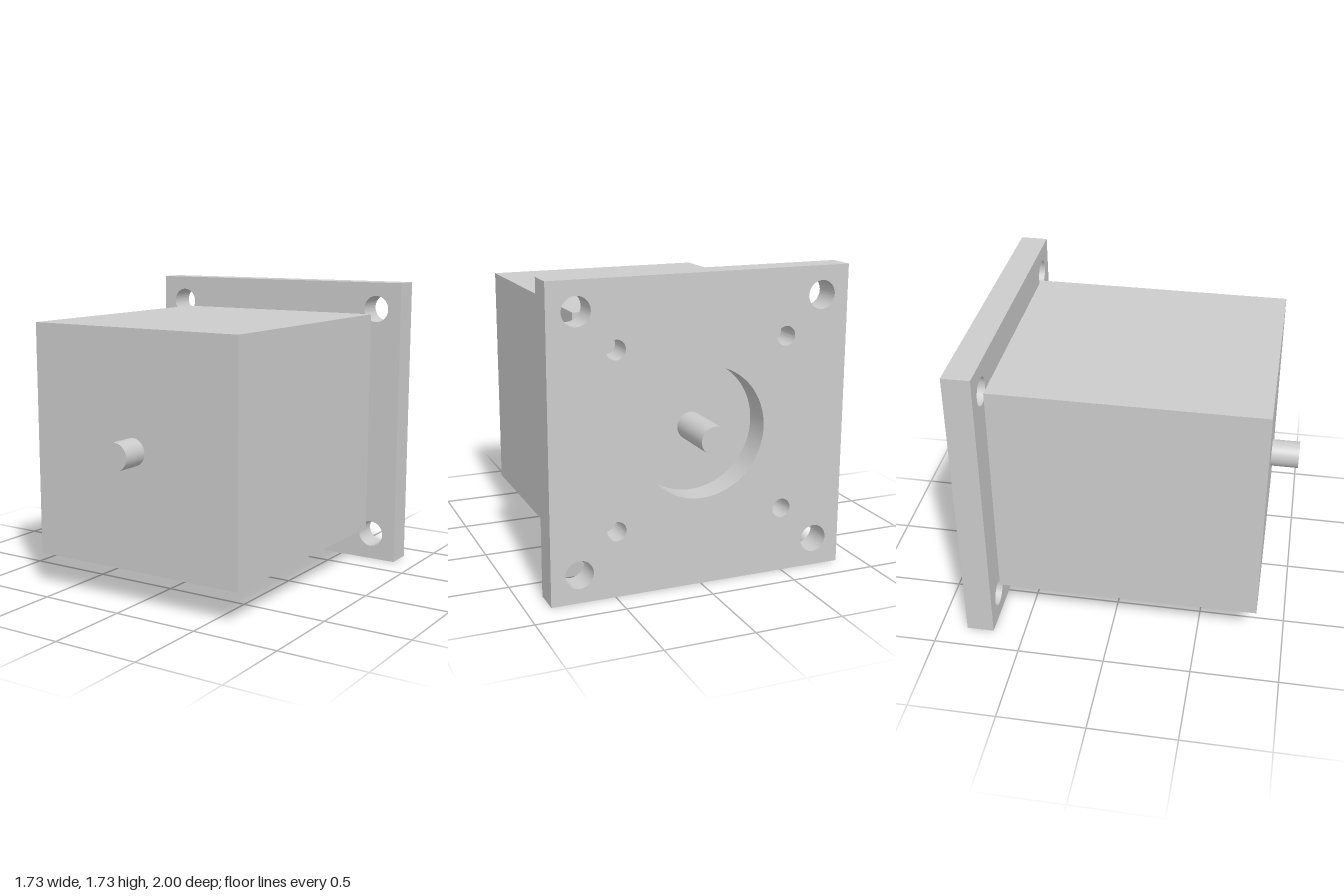
import * as THREE from 'three';
import { toCreasedNormals } from 'three/addons/utils/BufferGeometryUtils.js';

const CENTRE_Y = 0.863;      // height of the shaft axis
const FLANGE_HALF = 0.863;
const FLANGE_BACK = -0.84;
const FLANGE_FRONT = -0.682;
const BODY_FRONT = 0.84;
const BODY_WIDTH = 1.34;

export function createModel() {
  const model = new THREE.Group();
  model.name = 'motor';
  const material = new THREE.MeshStandardMaterial({ color: 0xcccccc });

  function add(name, geometry, z) {
    const mesh = new THREE.Mesh(geometry, material);
    mesh.name = name;
    mesh.position.set(0, CENTRE_Y, z);
    model.add(mesh);
  }

  // Square housing
  const bodyLength = BODY_FRONT - FLANGE_FRONT;
  add('body', new THREE.BoxGeometry(BODY_WIDTH, BODY_WIDTH, bodyLength), (BODY_FRONT + FLANGE_FRONT) / 2);

  // Mounting flange with a central bore, corner bolt holes and smaller screw holes
  const outline = new THREE.Shape();
  outline.moveTo(-FLANGE_HALF, -FLANGE_HALF);
  outline.lineTo(FLANGE_HALF, -FLANGE_HALF);
  outline.lineTo(FLANGE_HALF, FLANGE_HALF);
  outline.lineTo(-FLANGE_HALF, FLANGE_HALF);
  outline.closePath();

  function cutHole(x, y, radius) {
    outline.holes.push(new THREE.Path().absarc(x, y, radius, 0, Math.PI * 2, true));
  }
  cutHole(0, 0, 0.367);
  for (const sx of [-1, 1]) {
    for (const sy of [-1, 1]) {
      cutHole(sx * 0.703, sy * 0.703, 0.079);
      cutHole(sx * 0.491, sy * 0.491, 0.054);
    }
  }
  const flange = new THREE.ExtrudeGeometry(outline, {
    depth: FLANGE_FRONT - FLANGE_BACK, bevelEnabled: false, curveSegments: 40,
  });
  add('flange', toCreasedNormals(flange, Math.PI / 6), FLANGE_BACK);

  // Shaft running right through, showing at both ends
  const shaft = new THREE.CylinderGeometry(0.078, 0.078, 2, 40);
  shaft.rotateX(Math.PI / 2);
  add('shaft', shaft, 0);

  return model;
}
